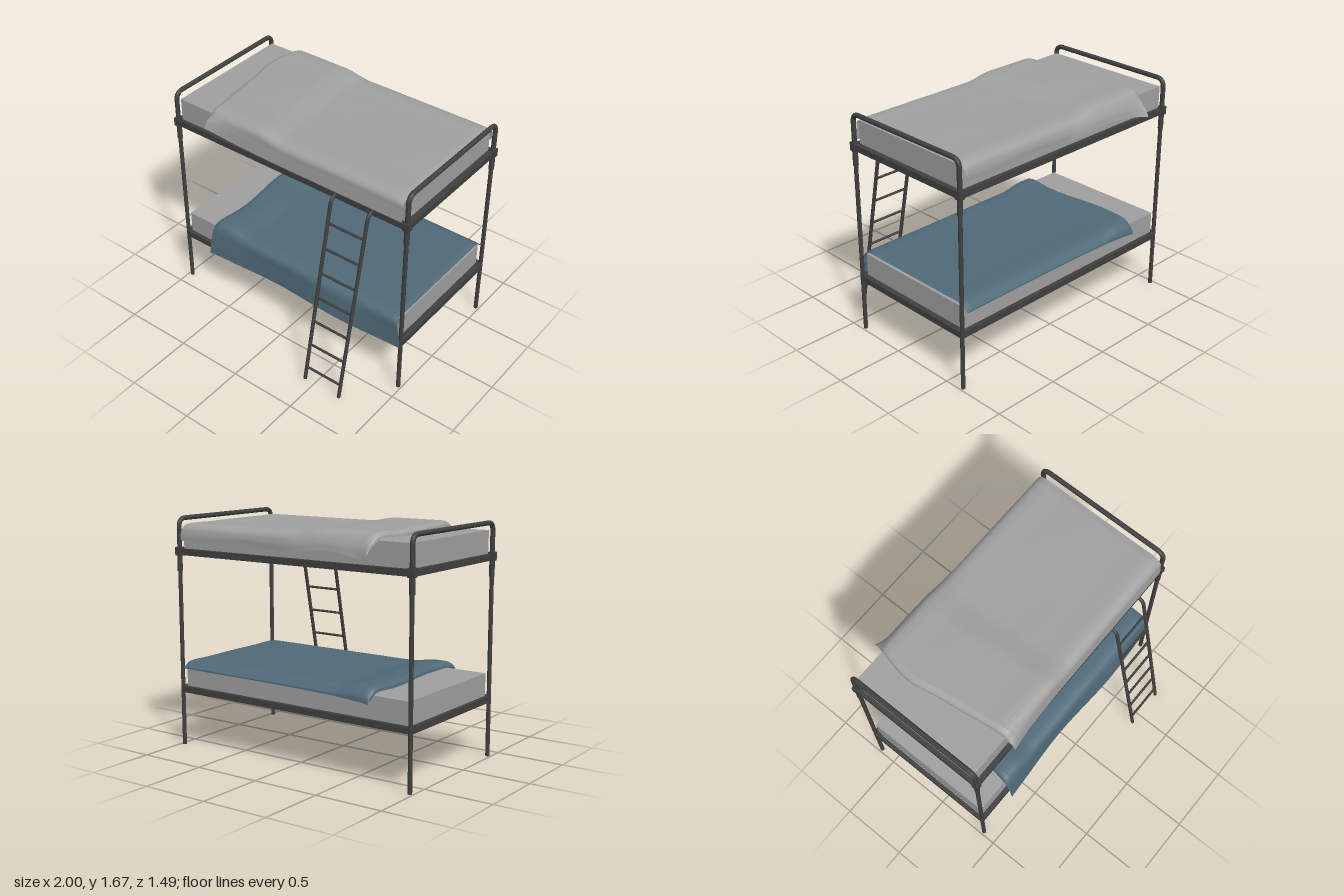
import * as THREE from 'three';
import { ParametricGeometry } from 'three/addons/geometries/ParametricGeometry.js';

const Z_FRONT = 0.39, Z_BACK = -0.635, Z_MID = (Z_FRONT + Z_BACK) / 2, POST_X = 0.975;

export function createModel() {
  const model = new THREE.Group();
  const mat = (name, color, side = THREE.FrontSide) => {
    const m = new THREE.MeshStandardMaterial({ color, side });
    m.name = name;
    return m;
  };
  const metal = mat('dark metal', 0x404040);
  const sheet = mat('grey mattress', 0xa0a0a0, THREE.DoubleSide);
  const greyCloth = mat('grey duvet', 0xa0a0a0, THREE.DoubleSide);
  const blueCloth = mat('blue duvet', 0x506a78, THREE.DoubleSide);

  const add = (name, geometry, material, x = 0, y = 0, z = 0) => {
    const mesh = new THREE.Mesh(geometry, material);
    mesh.name = name;
    mesh.position.set(x, y, z);
    model.add(mesh);
    return mesh;
  };
  const box = (name, w, h, d, x, y, z, m = metal) => add(name, new THREE.BoxGeometry(w, h, d), m, x, y, z);
  const V = (x, y, z) => new THREE.Vector3(x, y, z);

  // Posts with collars, and the rounded hoop over each end
  for (const x of [-POST_X, POST_X]) {
    for (const z of [Z_FRONT, Z_BACK]) {
      add('post', new THREE.CylinderGeometry(0.015, 0.015, 1.44, 12), metal, x, 0.72, z);
      add('postCollar', new THREE.CylinderGeometry(0.019, 0.019, 0.14, 12), metal, x, 1.35, z);
      box('postSleeve', 0.046, 0.06, 0.046, x, 1.42, z);
    }
    const r = 0.06, top = 1.653;
    const hoop = new THREE.CurvePath();
    hoop.add(new THREE.LineCurve3(V(x, 1.43, Z_FRONT), V(x, top - r, Z_FRONT)));
    hoop.add(new THREE.QuadraticBezierCurve3(V(x, top - r, Z_FRONT), V(x, top, Z_FRONT), V(x, top, Z_FRONT - r)));
    hoop.add(new THREE.LineCurve3(V(x, top, Z_FRONT - r), V(x, top, Z_BACK + r)));
    hoop.add(new THREE.QuadraticBezierCurve3(V(x, top, Z_BACK + r), V(x, top, Z_BACK), V(x, top - r, Z_BACK)));
    hoop.add(new THREE.LineCurve3(V(x, top - r, Z_BACK), V(x, 1.43, Z_BACK)));
    add('endHoop', new THREE.TubeGeometry(hoop, 90, 0.017, 12), metal);
  }

  // Two bed frames with mattresses; the lower mattress is open underneath
  for (const base of [0.395, 1.395]) {
    const y = base + 0.0225;
    for (const z of [Z_FRONT, Z_BACK]) {
      box('sideRail', 1.95, 0.045, 0.03, 0, y, z);
      box('railLedge', 1.92, 0.008, 0.03, 0, base + 0.035, z + Math.sign(Z_MID - z) * 0.025);
    }
    for (const x of [-POST_X, POST_X]) box('endRail', 0.03, 0.045, 1.02, x, y, Z_MID);
    box('endLedge', 0.03, 0.008, 0.99, -0.94, base + 0.035, Z_MID);
    box('endLedge', 0.03, 0.008, 0.99, 0.94, base + 0.035, Z_MID);
    box('crossBar', 0.03, 0.03, 1.0, -0.71, base + 0.02, Z_MID);
    const mattress = box('mattress', 1.9, 0.165, 0.99, -0.005, base + 0.1225, Z_MID - 0.002, sheet);
    if (base < 1) {
      const g = mattress.geometry, idx = Array.from(g.index.array);
      idx.splice(18, 6);
      g.setIndex(idx);
      g.clearGroups();
    }
  }

  // Duvet: a cross-section from front hem over the top to back hem, swept from head to foot
  const duvet = (name, material, o) => {
    const steps = 56;
    const sections = [];
    for (let i = 0; i <= steps; i++) {
      const u = Math.pow(i / steps, 1.5);
      const lip = Math.min(1, Math.sqrt(i / 5));
      const foot = THREE.MathUtils.smoothstep(u, 0.97, 1);
      const t = o.top(u) - (1 - lip) * 0.04 - foot * 0.008;
      const [fz, fy] = o.front(u), [bz, by] = o.back(u);
      const pts = [
        [fz, fy], [0.6 * fz + 0.158, (fy + t) / 2], [0.397, t - 0.035], [0.355, t - 0.004],
        [0.15, t], [-0.12, t + 0.003 * Math.sin(u * 9)], [-0.4, t],
        [-0.6, t - 0.004], [-0.64, t - 0.03], [0.6 * bz - 0.262, (by + t) / 2 - 0.015], [bz, by],
      ].map(([z, y]) => V(0, y, z));
      sections.push(new THREE.CatmullRomCurve3(pts).getPoints(60).map((p) => {
        const head = o.head(p.z);
        p.x = head + (o.foot(p) - head) * u;
        return p;
      }));
    }
    const surface = (a, b, target) => target.copy(sections[Math.round(a * steps)][Math.round(b * 60)]);
    add(name, new ParametricGeometry(surface, steps, 60), material);
  };
  const fade = (u, a, b) => THREE.MathUtils.smoothstep(u, a, b);

  duvet('upperDuvet', greyCloth, {
    head: (z) => -0.71 + 0.05 * fade(z, -0.1, 0.4) - 0.05 * Math.exp(-(((z + 0.36) / 0.2) ** 2)) + 0.02 * fade(-z, 0.55, 0.7),
    foot: () => 0.943,
    top: (u) => 1.65 - 0.03 * fade(u, 0.26, 0.4),
    front: (u) => [0.41 + 0.045 * Math.exp(-u * 9), 1.448 + 0.075 * Math.exp(-u * 8)],
    back: (u) => [-0.655 - 0.085 * Math.exp(-u * 18) - 0.025 * (1 - fade(u, 0.3, 0.5)) * fade(u, 0, 0.15),
      1.5 - 0.02 * Math.cos(u * 14) * (1 - u * 0.6)],
  });
  duvet('lowerDuvet', blueCloth, {
    head: (z) => -0.69 + 0.02 * Math.sin(z * 7 + 1),
    foot: (p) => 0.945 + 0.035 * fade(0.62 - p.y, 0.02, 0.22),
    top: (u) => 0.627 + 0.028 * (1 - fade(u, 0.07, 0.2)),
    front: (u) => [0.425 + 0.012 * Math.cos(u * 9) + 0.01 * Math.exp(-u * 9), 0.388 + 0.008 * Math.sin(u * 20) * Math.exp(-u * 8)],
    back: (u) => [-0.658 - 0.022 * Math.exp(-u * 7), 0.575 - 0.025 * Math.exp(-u * 6)],
  });

  // Leaning ladder hooked onto the front upper rail
  const ladderZ = (y) => 0.735 - 0.205 * y;
  for (const x of [0.42, 0.714]) {
    const path = new THREE.CurvePath();
    path.add(new THREE.LineCurve3(V(x, 0.005, ladderZ(0.005)), V(x, 1.38, ladderZ(1.38))));
    path.add(new THREE.QuadraticBezierCurve3(V(x, 1.38, ladderZ(1.38)), V(x, 1.425, ladderZ(1.425)), V(x, 1.425, 0.39)));
    add('ladderRail', new THREE.TubeGeometry(path, 80, 0.013, 10), metal);
    const foot = add('ladderFoot', new THREE.CircleGeometry(0.013, 10), metal, x, 0.005, ladderZ(0.005));
    foot.rotation.x = Math.PI / 2;
  }
  for (let i = 0; i < 7; i++) {
    const y = 0.105 + i * 0.189;
    const rung = add('ladderRung', new THREE.CylinderGeometry(0.009, 0.009, 0.294, 8), metal, 0.567, y, ladderZ(y));
    rung.rotation.z = Math.PI / 2;
  }
  return model;
}
